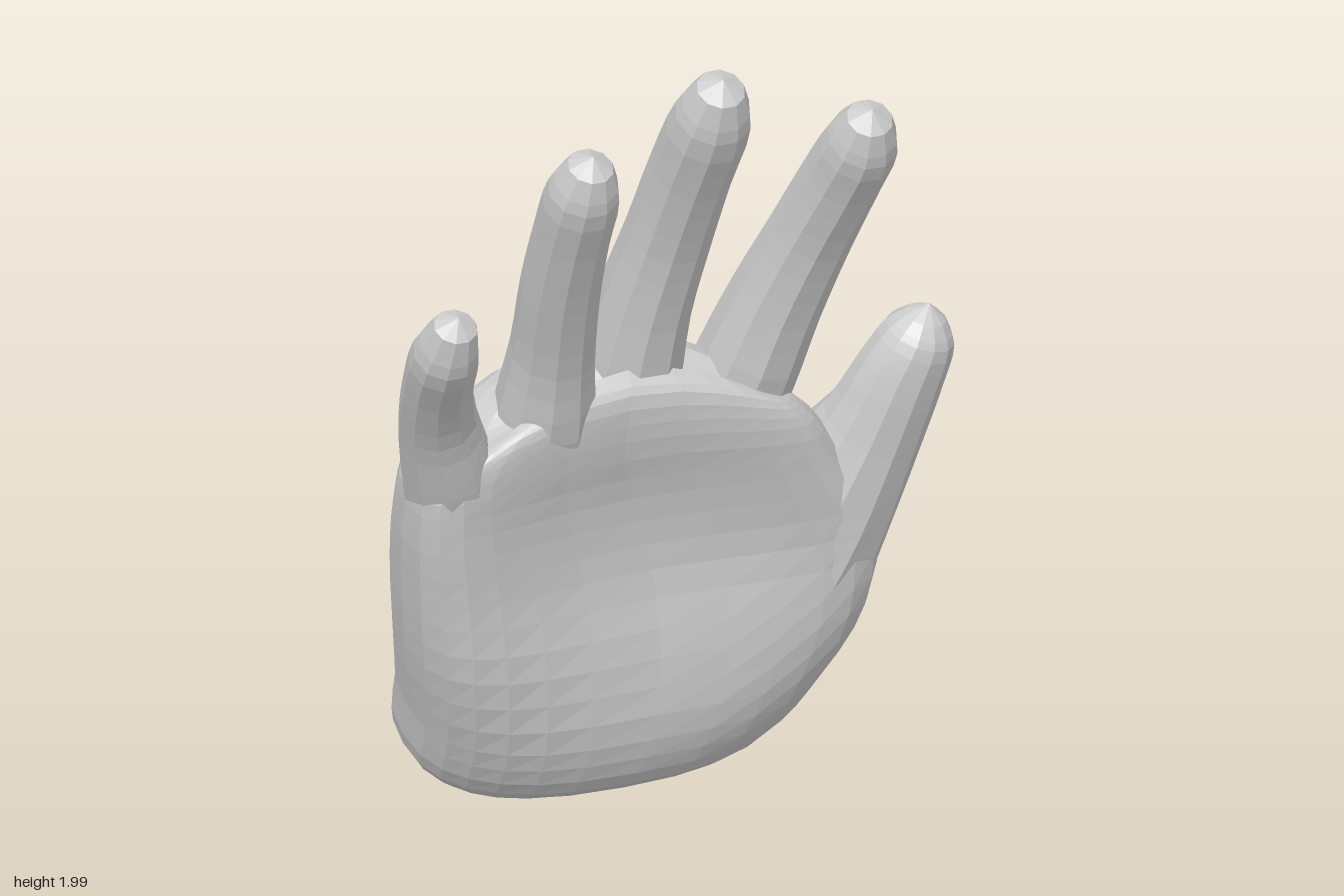
import * as THREE from 'three';

const V = (x, y, z) => new THREE.Vector3(x, y, z);
const material = new THREE.MeshStandardMaterial({ color: 0xcccccc, flatShading: true });

// Smooth the rings lengthwise, one spline per column of points.
function refine(rings, steps) {
  const count = (rings.length - 1) * steps;
  const columns = rings[0].map((_, j) => new THREE.CatmullRomCurve3(rings.map(r => r[j])));
  return Array.from({ length: count + 1 }, (_, i) => columns.map(c => c.getPoint(i / count)));
}

// Skin between rings, closed at both ends; topLift raises the last cap into a point.
function skin(name, rings, topLift) {
  const n = rings[0].length, last = rings.length - 1;
  const points = rings.flat(), index = [];
  const middle = ring => ring.reduce((s, p) => s.add(p), V(0, 0, 0)).divideScalar(n);
  const bottom = points.push(middle(rings[0])) - 1;
  const top = points.push(middle(rings[last]).add(topLift)) - 1;
  for (let j = 0; j < n; j++) {
    const k = (j + 1) % n;
    for (let i = 0; i < last; i++) {
      const a = i * n + j, b = a + n, c = i * n + k, d = c + n;
      index.push(a, b, c, c, b, d);
    }
    index.push(bottom, j, k, top, last * n + k, last * n + j);
  }
  const geometry = new THREE.BufferGeometry().setFromPoints(points);
  geometry.setIndex(index);
  geometry.computeVertexNormals();
  const mesh = new THREE.Mesh(geometry, material);
  mesh.name = name;
  return mesh;
}

// A finger from stations [x, y, z, half width, half depth].
function finger(name, stations, sides = 10) {
  const curve = new THREE.CatmullRomCurve3(stations.map(s => V(s[0], s[1], s[2])));
  const end = stations.length - 1;
  const rings = stations.map(([x, y, z, w, d], i) => {
    const along = curve.getTangent(i / end);
    const side = V(1, 0, 0).addScaledVector(along, -along.x).normalize();
    const front = side.clone().cross(along);
    return Array.from({ length: sides }, (_, j) => {
      const a = (j / sides) * Math.PI * 2;
      return V(x, y, z).addScaledVector(side, w * Math.cos(a)).addScaledVector(front, d * Math.sin(a));
    });
  });
  return skin(name, refine(rings, 3), curve.getTangent(1).multiplyScalar(0.033));
}

// Palm cross-section: slanted from back to front, hollow in the middle of the
// front, and cut away at the back towards the thumb.
function palmRing([xMin, xMax, zBack, yBack, zFront, yFront, archBack, archFront, drop]) {
  const sides = 28;
  return Array.from({ length: sides }, (_, j) => {
    const a = (j / sides) * Math.PI * 2;
    const power = Math.cos(a) > 0 && Math.sin(a) < 0 ? 1.15 : 0.8;
    const bend = c => Math.sign(c) * Math.abs(c) ** power;
    const u = bend(Math.cos(a)), t = (bend(Math.sin(a)) + 1) / 2;
    return V(
      (xMin + xMax) / 2 + ((xMax - xMin) / 2) * u,
      THREE.MathUtils.lerp(yBack, yFront, t) - drop * u * u,
      THREE.MathUtils.lerp(zBack + archBack * u * u, zFront + archFront * u * u, t)
    );
  });
}

export function createModel() {
  const hand = new THREE.Group();
  hand.name = 'hand';

  // Palm from the slanted wrist cut, through the root of the thumb, up to the webs
  const palm = [
    [-0.45, 0.34, -0.45, 0.15, -0.06, 0.005, 0, 0, 0],
    [-0.51, 0.41, -0.475, 0.22, 0.04, 0.06, 0, 0, 0],
    [-0.535, 0.49, -0.43, 0.36, 0.1, 0.19, 0, 0.05, 0],
    [-0.575, 0.57, -0.37, 0.53, 0.11, 0.4, 0, 0.14, 0],
    [-0.605, 0.57, -0.31, 0.72, 0.09, 0.62, 0, 0.2, 0],
    [-0.62, 0.46, -0.245, 0.89, 0.11, 0.82, 0.02, 0.19, 0.01],
    [-0.61, 0.385, -0.185, 1.04, 0.155, 0.99, 0.04, 0.13, 0.06],
    [-0.52, 0.32, -0.11, 1.15, 0.165, 1.11, 0.05, 0.08, 0.12],
    [-0.44, 0.25, 0, 1.18, 0.13, 1.16, 0.04, 0.05, 0.13]
  ];
  hand.add(skin('palm', refine(palm.map(palmRing), 3), V(0, 0.03, 0)));

  // Thumb with the ball of the thumb at its root
  hand.add(finger('thumb', [
    [0.23, 0.22, -0.11, 0.11, 0.11],
    [0.32, 0.36, -0.1, 0.18, 0.19],
    [0.405, 0.53, -0.08, 0.19, 0.215],
    [0.48, 0.7, -0.015, 0.16, 0.18],
    [0.55, 0.87, 0.06, 0.125, 0.125],
    [0.605, 1.03, 0.11, 0.105, 0.1],
    [0.64, 1.12, 0.13, 0.085, 0.085],
    [0.65, 1.165, 0.14, 0.05, 0.05]
  ], 12));

  // Four fingers, leaning forward
  hand.add(finger('indexFinger', [
    [0.2, 0.82, -0.08, 0.13, 0.1],
    [0.25, 1.05, 0.01, 0.12, 0.13],
    [0.3, 1.25, 0.08, 0.11, 0.115],
    [0.35, 1.45, 0.17, 0.1, 0.1],
    [0.385, 1.63, 0.27, 0.092, 0.097],
    [0.4, 1.75, 0.35, 0.085, 0.088],
    [0.4, 1.82, 0.39, 0.055, 0.055]
  ]));
  hand.add(finger('middleFinger', [
    [-0.05, 0.85, -0.08, 0.13, 0.1],
    [-0.04, 1.1, 0, 0.125, 0.135],
    [-0.025, 1.3, 0.065, 0.11, 0.12],
    [0, 1.5, 0.145, 0.102, 0.105],
    [0.015, 1.7, 0.24, 0.097, 0.102],
    [0.025, 1.88, 0.345, 0.092, 0.092],
    [0.025, 1.965, 0.39, 0.058, 0.058]
  ]));
  hand.add(finger('ringFinger', [
    [-0.27, 0.8, -0.03, 0.13, 0.1],
    [-0.275, 1.06, 0.06, 0.12, 0.125],
    [-0.285, 1.25, 0.13, 0.1, 0.107],
    [-0.305, 1.45, 0.22, 0.095, 0.097],
    [-0.315, 1.63, 0.31, 0.09, 0.092],
    [-0.318, 1.77, 0.385, 0.086, 0.086],
    [-0.316, 1.845, 0.42, 0.055, 0.055]
  ]));
  hand.add(finger('littleFinger', [
    [-0.47, 0.75, 0.01, 0.11, 0.1],
    [-0.53, 0.98, 0.08, 0.11, 0.115],
    [-0.585, 1.14, 0.155, 0.094, 0.092],
    [-0.625, 1.28, 0.25, 0.084, 0.082],
    [-0.645, 1.4, 0.34, 0.079, 0.08],
    [-0.643, 1.485, 0.39, 0.053, 0.05]
  ]));

  return hand;
}
